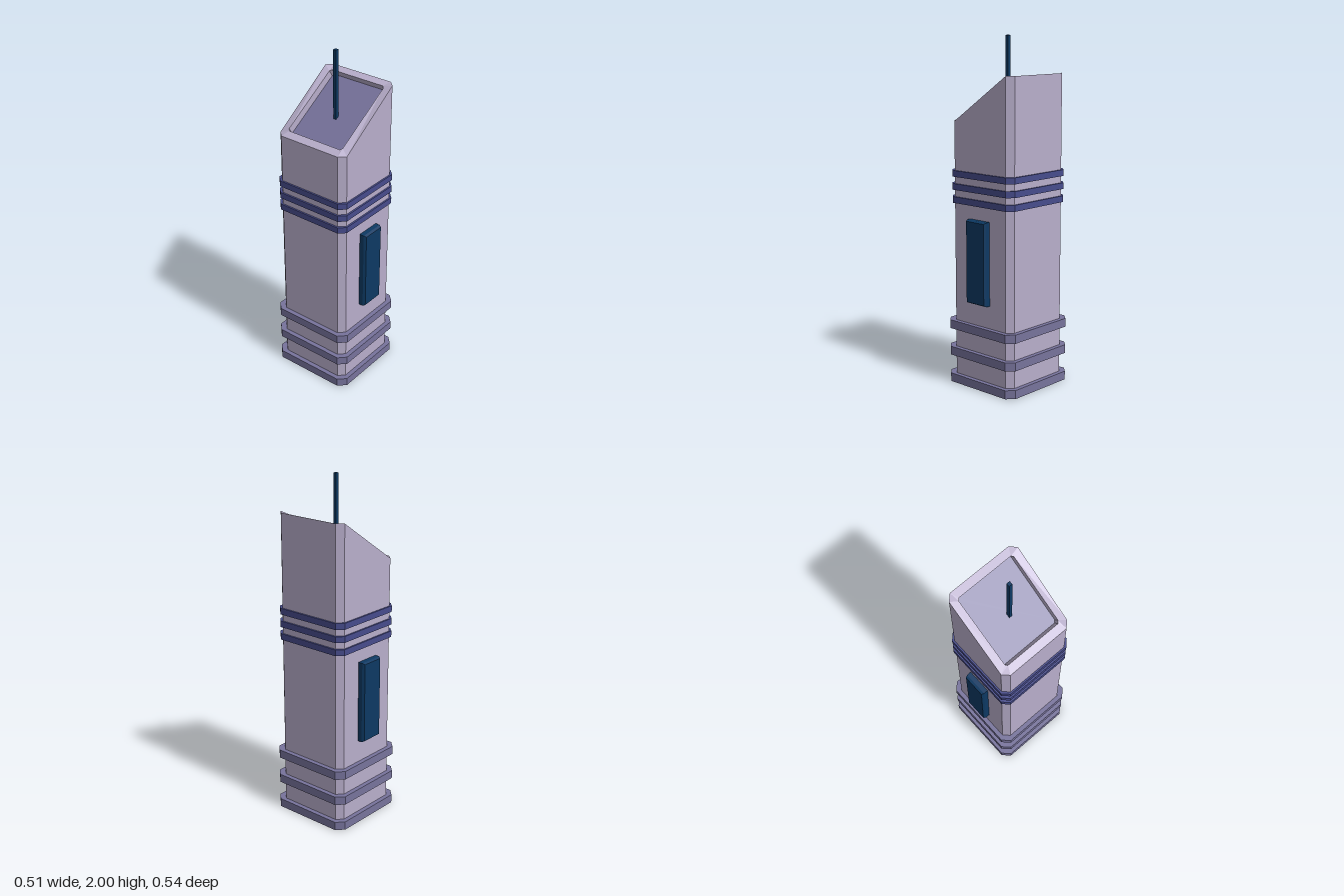
import * as THREE from 'three';

const mat = (color, side = THREE.FrontSide) => new THREE.MeshStandardMaterial({ color, flatShading: true, side });

// Corners of a chamfered square, as [x, z], running round from the front
function octagon(half, chamfer) {
  const a = half, b = half - chamfer;
  return [[-b, a], [b, a], [a, b], [a, -b], [b, -a], [-b, -a], [-a, -b], [-a, b]];
}

// One cross-section loop: height depends on x, the loop may be shifted sideways
const loop = (half, chamfer, height, shift = 0) =>
  octagon(half, chamfer).map(([x, z]) => [x + shift, height(x), z]);

// Skin successive loops with quads; optionally close the last loop
function loft(loops, cap = false) {
  const pos = [];
  const tri = (a, b, c) => pos.push(...a, ...b, ...c);
  for (let l = 0; l + 1 < loops.length; l++) {
    const p = loops[l], q = loops[l + 1];
    for (let i = 0; i < p.length; i++) {
      const j = (i + 1) % p.length;
      tri(p[i], p[j], q[j]);
      tri(p[i], q[j], q[i]);
    }
  }
  if (cap) {
    const t = loops[loops.length - 1];
    for (let i = 1; i + 1 < t.length; i++) tri(t[0], t[i], t[i + 1]);
  }
  const g = new THREE.BufferGeometry();
  g.setAttribute('position', new THREE.Float32BufferAttribute(pos, 3));
  g.computeVertexNormals();
  return g;
}

// Solid chamfered band lying flat, bottom at y = 0
function bandGeometry(half, chamfer, height) {
  const shape = new THREE.Shape(octagon(half, chamfer).map(([x, z]) => new THREE.Vector2(x, -z)));
  return new THREE.ExtrudeGeometry(shape, { depth: height, bevelEnabled: false }).rotateX(-Math.PI / 2);
}

export function createModel() {
  const model = new THREE.Group();
  const add = (name, geometry, material, y = 0, parent = model) => {
    const mesh = new THREE.Mesh(geometry, material);
    mesh.name = name;
    mesh.position.y = y;
    parent.add(mesh);
    return mesh;
  };
  const wall = mat(0xb8aecb, THREE.DoubleSide);
  const slate = mat(0x77739c);
  const blue = mat(0x474c8c);
  const navy = mat(0x0d3963);

  // Tower shaft with slanted top, rim and recess walls
  const slant = x => 1.525 + 0.265 * THREE.MathUtils.clamp((x + 0.195) / 0.39, 0, 1);
  const rim = x => 1.66 + 0.63 * x;
  const sunk = x => rim(x) - 0.037;
  const floorLoop = loop(0.185, 0.011, sunk, 0.025);
  add('towerShaft', loft([
    loop(0.23, 0.035, () => 0),
    loop(0.23, 0.035, slant),
    loop(0.185, 0.011, rim),
    floorLoop,
  ]), wall);

  // Sunken sloping roof
  add('roof', loft([floorLoop], true), slate);

  // Broad base bands and thin upper bands
  const baseBand = bandGeometry(0.257, 0.042, 0.05);
  const upperBand = bandGeometry(0.24, 0.036, 0.036);
  for (let i = 0; i < 3; i++) {
    add('baseBand', baseBand, slate, 0.16 * i + 0.003 * Math.min(i, 1));
    add('upperBand', upperBand, blue, 1.062 + 0.075 * i);
  }

  // Bevelled window panels, front and back
  const w = 0.067, h = 0.233;
  const outline = new THREE.Shape([
    new THREE.Vector2(-w, -h), new THREE.Vector2(w, -h),
    new THREE.Vector2(w, h), new THREE.Vector2(-w, h),
  ]);
  const panel = new THREE.ExtrudeGeometry(outline, {
    depth: 0.035, bevelThickness: 0.014, bevelSize: 0.007, bevelSegments: 1,
  }).translate(0, 0, 0.222);
  add('frontWindow', panel, navy, 0.745);
  add('backWindow', panel, navy, 0.745).rotation.y = Math.PI;

  // Antenna
  add('antenna', new THREE.BoxGeometry(0.02, 0.42, 0.02), navy, 1.79);
  return model;
}
